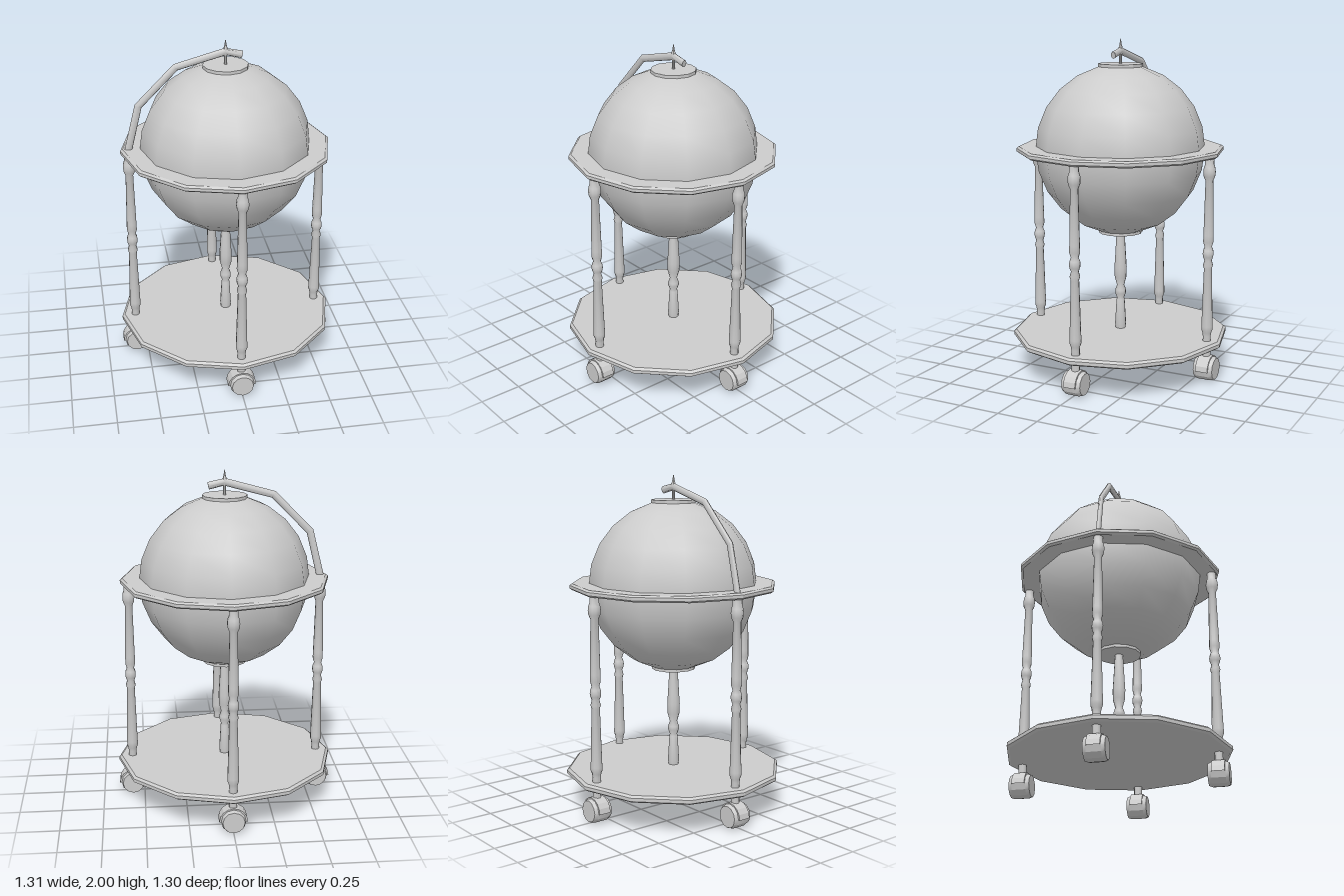
import * as THREE from 'three';
import { toCreasedNormals } from 'three/addons/utils/BufferGeometryUtils.js';

const grey = new THREE.MeshStandardMaterial({ color: 0xcccccc, side: THREE.DoubleSide });

function part(name, geometry, parent) {
  const mesh = new THREE.Mesh(geometry, grey);
  mesh.name = name;
  parent.add(mesh);
  return mesh;
}

// Turned shape from [radius, height] pairs, listed from the bottom up
function turned(profile, sides, crease = 0.5) {
  const points = profile.map(([r, y]) => new THREE.Vector2(r, y));
  return toCreasedNormals(new THREE.LatheGeometry(points, sides), crease);
}

// Straight segments with mitred corners
class BentPath extends THREE.Curve {
  constructor(points) {
    super();
    this.points = points;
  }
  getPoint(t, target = new THREE.Vector3()) {
    const n = this.points.length - 1;
    const f = Math.min(Math.max(t, 0), 1) * n;
    const i = Math.min(Math.floor(f), n - 1);
    return target.lerpVectors(this.points[i], this.points[i + 1], f - i);
  }
  getUtoTmapping(u) {
    return u;
  }
}

function makeCaster() {
  const caster = new THREE.Group();
  caster.name = 'caster';

  // Barrel-shaped wheel with its axle along z
  const wheel = turned([[0, -0.06], [0.064, -0.06], [0.072, -0.04], [0.072, 0.04], [0.064, 0.06], [0, 0.06]], 12);
  part('wheel', wheel.rotateX(Math.PI / 2), caster).position.y = 0.072;

  // Half-round hood over the wheel
  const hood = new THREE.CylinderGeometry(0.083, 0.083, 0.075, 8, 1, false, Math.PI / 2, Math.PI);
  part('wheelHood', toCreasedNormals(hood.rotateX(Math.PI / 2), 0.3), caster).position.y = 0.068;
  return caster;
}

export function createModel() {
  const model = new THREE.Group();
  model.name = 'floorGlobe';

  // Twelve-sided base shelf and horizon ring
  part('baseShelf', turned([
    [0, 0.198], [0.637, 0.198], [0.652, 0.208], [0.652, 0.228], [0.637, 0.24], [0, 0.24],
  ], 12), model);
  part('horizonRing', turned([
    [0.5, 1.328], [0.603, 1.328], [0.617, 1.338], [0.617, 1.356], [0.603, 1.366], [0.5, 1.366], [0.5, 1.328],
  ], 12), model);

  // Globe with a thin plate at each pole
  part('globe', new THREE.SphereGeometry(0.505, 12, 12).rotateY(Math.PI / 2), model).position.y = 1.345;
  for (const [name, y] of [['topPlate', 1.842], ['bottomPlate', 0.85]]) {
    part(name, toCreasedNormals(new THREE.CylinderGeometry(0.132, 0.132, 0.018, 12), 0.5), model).position.y = y;
  }

  // Four turned legs on casters
  const legShape = turned([
    [0.024, 0.14], [0.024, 0.27], [0.027, 0.29], [0.034, 0.31], [0.034, 0.33], [0.024, 0.68],
    [0.03, 0.7], [0.022, 0.73], [0.03, 0.75], [0.033, 0.77], [0.03, 0.79], [0.022, 0.81],
    [0.031, 0.84], [0.03, 0.88], [0.023, 1.2], [0.034, 1.225], [0.037, 1.25], [0.034, 1.275],
    [0.027, 1.295], [0.027, 1.34],
  ], 10, 0.9);
  for (let i = 0; i < 4; i++) {
    const angle = i * Math.PI / 2;
    const support = new THREE.Group();
    support.name = 'legWithCaster';
    support.position.set(0.57 * Math.sin(angle), 0, 0.57 * Math.cos(angle));
    part('leg', legShape, support);
    support.add(makeCaster());
    model.add(support);
  }

  // Turned post under the globe
  part('centrePost', turned([
    [0.028, 0.22], [0.034, 0.27], [0.025, 0.42], [0.022, 0.43], [0.033, 0.46], [0.033, 0.48],
    [0.022, 0.51], [0.036, 0.56], [0.038, 0.62], [0.034, 0.68], [0.024, 0.85],
  ], 10, 0.9), model);

  // Bent arm rising from the ring over the top of the globe
  const path = new BentPath([[-0.573, 1.345], [-0.503, 1.628], [-0.285, 1.848], [0, 1.925], [0.095, 1.903]]
    .map(([x, y]) => new THREE.Vector3(x, y, 0)));
  const arm = new THREE.Group();
  arm.name = 'arm';
  arm.scale.z = 0.68;
  model.add(arm);
  part('armBar', toCreasedNormals(new THREE.TubeGeometry(path, 4, 0.022, 8), 0.8), arm);
  const end = part('armEnd', new THREE.CircleGeometry(0.022, 8), arm);
  end.position.copy(path.getPoint(1));
  end.quaternion.setFromUnitVectors(new THREE.Vector3(0, 0, 1), path.getTangent(1));

  // Pivot pin and pointed finial
  part('finial', turned([
    [0.009, 1.84], [0.009, 1.9], [0.014, 1.92], [0.013, 1.94], [0.006, 1.965], [0.004, 1.98], [0, 2],
  ], 8, 0.9), model);

  return model;
}
